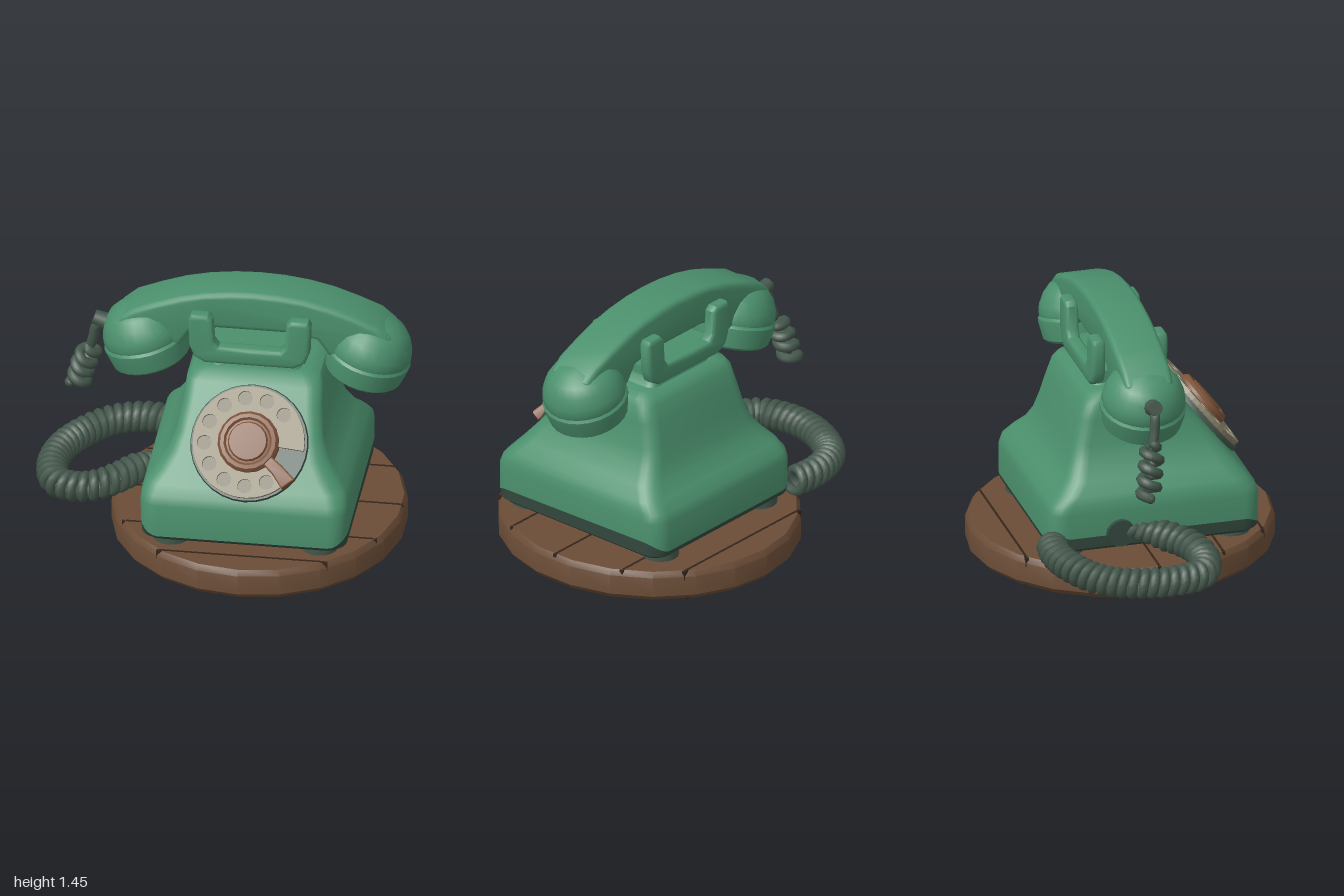
import * as THREE from 'three';
import { toCreasedNormals } from 'three/addons/utils/BufferGeometryUtils.js';

const mat = (name, color, side = THREE.FrontSide) => {
  const m = new THREE.MeshStandardMaterial({ color, side });
  m.name = name;
  return m;
};
const CX = 0.2; // middle of the phone; the cord hangs off to -x

export function createModel() {
  const green = mat('green enamel', 0x4b906d);
  const shade = mat('dark green trim', 0x34493f);
  const cordMat = mat('cord rubber', 0x44574c);
  const wood = mat('wood', 0x6b4d37);
  const gap = mat('plank gap', 0x35261b);
  const copper = mat('dial brown', 0x80553a);
  const ivory = mat('dial ivory', 0x898269);
  const well = mat('finger well', 0x77715c);

  const model = new THREE.Group();
  model.name = 'rotaryTelephone';
  const add = (name, geo, material, parent = model) => {
    const m = new THREE.Mesh(geo, material);
    m.name = name;
    parent.add(m);
    return m;
  };
  const lathe = (pts, seg) => toCreasedNormals(
    new THREE.LatheGeometry(pts.map(p => new THREE.Vector2(...p)), seg), 0.6);

  // Rounded-rectangle cross-sections [y or rule, half width, back z, front z, corner radius]
  function loft(levels, capBottom, capTop) {
    const pos = [], idx = [], perCorner = 7, n = perCorner * 4;
    for (const [y, hw, zb, zf, r] of levels) {
      for (let c = 0; c < 4; c++) for (let k = 0; k < perCorner; k++) {
        const a = (c + k / (perCorner - 1)) * Math.PI / 2;
        const sx = c === 0 || c === 3 ? 1 : -1;
        const nx = Math.cos(a), nz = Math.sin(a);
        pos.push(CX + sx * (hw - r) + r * nx, typeof y === 'function' ? y(nx, nz) : y,
          (c < 2 ? zf - r : zb + r) + r * nz);
      }
    }
    for (let l = 0; l < levels.length - 1; l++) for (let i = 0; i < n; i++) {
      const j = (i + 1) % n, a = l * n + i, b = l * n + j;
      idx.push(a, a + n, b, b, a + n, b + n);
    }
    const cap = (l, up) => {
      const c = pos.length / 3, [y, , zb, zf] = levels[l];
      pos.push(CX, y, (zb + zf) / 2);
      for (let i = 0; i < n; i++) {
        const a = l * n + i, b = l * n + (i + 1) % n;
        up ? idx.push(c, b, a) : idx.push(c, a, b);
      }
    };
    if (capBottom) cap(0, false);
    if (capTop) cap(levels.length - 1, true);
    const g = new THREE.BufferGeometry();
    g.setAttribute('position', new THREE.Float32BufferAttribute(pos, 3));
    g.setIndex(idx);
    return toCreasedNormals(g, 0.7);
  }

  // Bevelled plate cut from an outline, centred on z
  function plate(points, depth, bevel, z) {
    const shape = new THREE.Shape(points.map(p => new THREE.Vector2(...p)));
    const g = new THREE.ExtrudeGeometry(shape, {
      depth: depth - 2 * bevel, bevelEnabled: true, bevelSize: bevel,
      bevelThickness: bevel, bevelOffset: -bevel, bevelSegments: 3,
    });
    g.translate(0, 0, z - depth / 2 + bevel);
    return toCreasedNormals(g, 0.7);
  }

  // Wooden stand with plank seams above and below
  const stand = add('stand', lathe([[0, 0], [0.765, 0], [0.79, 0.03], [0.79, 0.14], [0.77, 0.17], [0, 0.17]], 22), wood);
  stand.position.x = 0.205;
  stand.scale.z = 1.05;
  for (const z of [-0.65, -0.39, 0, 0.38, 0.66]) {
    const half = 0.77 * Math.sqrt(1 - (z / 0.82) ** 2) - 0.015;
    for (const y of [0.0035, 0.169]) {
      add('plankSeam', new THREE.BoxGeometry(half * 2, 0.007, 0.012), gap).position.set(0.205, y, z);
    }
    for (const s of [-1, 1]) {
      add('seamNotch', new THREE.BoxGeometry(0.03, 0.05, 0.018), gap).position.set(0.205 + s * (half + 0.004), 0.145, z);
    }
  }

  // Feet
  for (const x of [-0.2, 0.6]) for (const z of [-0.42, 0.5]) {
    add('foot', new THREE.CylinderGeometry(0.1, 0.1, 0.06, 16), cordMat).position.set(x, 0.195, z);
  }

  // Body with a darker skirt that rises on the sides
  const skirtTop = [(nx, nz) => 0.235 + 0.055 * nx * nx + (nz < 0 ? 0.015 : 0), 0.558, -0.54, 0.63, 0.1];
  add('skirt', loft([[0.205, 0.53, -0.51, 0.6, 0.09], [0.225, 0.552, -0.535, 0.625, 0.1], skirtTop], true, false), shade);
  add('body', loft([
    skirtTop, [0.42, 0.56, -0.54, 0.63, 0.1], [0.47, 0.555, -0.525, 0.612, 0.1],
    [0.52, 0.535, -0.475, 0.57, 0.1], [0.58, 0.485, -0.42, 0.522, 0.1],
    [0.66, 0.43, -0.385, 0.46, 0.09], [0.75, 0.395, -0.36, 0.39, 0.08],
    [0.88, 0.375, -0.325, 0.288, 0.08], [0.97, 0.365, -0.295, 0.217, 0.08],
    [1.005, 0.345, -0.27, 0.185, 0.08], [1.025, 0.29, -0.22, 0.13, 0.06],
  ], false, true), green);
  add('neck', loft([
    [1.0, 0.28, -0.23, 0.14, 0.05], [1.03, 0.235, -0.22, 0.13, 0.05], [1.09, 0.215, -0.21, 0.12, 0.05],
  ], false, true), green);

  // Cradle: a deck and two U-shaped rests
  const cradleHalf = [[0, 1.05], [0.24, 1.05], [0.3, 1.085], [0.325, 1.15], [0.33, 1.31], [0.315, 1.335],
    [0.225, 1.335], [0.2, 1.31], [0.19, 1.18], [0.165, 1.148], [0, 1.148]];
  const mirrored = (half, cx) => [
    ...half.map(([x, y]) => [cx + x, y]),
    ...half.slice(1, -1).reverse().map(([x, y]) => [cx - x, y])];
  const rest = mirrored(cradleHalf, 0.17);
  add('frontCradle', plate(rest, 0.085, 0.022, 0.122), green);
  add('backCradle', plate(rest, 0.075, 0.022, -0.217), green);
  add('cradleDeck', new THREE.BoxGeometry(0.5, 0.07, 0.32), green).position.set(0.17, 1.09, -0.05);

  // Handset: arched grip and two tilted cups
  const handset = new THREE.Group();
  handset.name = 'handset';
  handset.position.set(0.185, 0, -0.05);
  model.add(handset);
  const gripHalf = [[0, 1.22], [0.2, 1.22], [0.34, 1.19], [0.4, 1.1], [0.66, 1.06], [0.73, 1.14],
    [0.735, 1.23], [0.66, 1.295], [0.53, 1.348], [0.4, 1.393], [0.27, 1.423], [0.13, 1.441], [0, 1.446]];
  add('grip', plate(mirrored(gripHalf, 0), 0.27, 0.03, 0), green, handset);
  const cupGeo = lathe([[0, 0.025], [0.15, 0.025], [0.165, 0], [0.195, 0], [0.212, 0.015], [0.23, 0.1],
    [0.232, 0.125], [0.222, 0.14], [0.226, 0.155], [0.22, 0.2], [0.195, 0.26], [0.16, 0.305], [0.1, 0.34], [0, 0.352]], 24);
  for (const s of [-1, 1]) {
    const cup = add(s < 0 ? 'rightCup' : 'leftCup', cupGeo, green, handset);
    cup.position.set(s * 0.568, 0.942, 0);
    cup.rotation.z = -s * 0.265;
  }

  // Dial, tilted to lie on the sloping front
  const dial = new THREE.Group();
  dial.name = 'dial';
  dial.position.set(0.21, 0.712, 0.4);
  dial.rotation.x = -0.668;
  model.add(dial);
  const turned = (name, pts, material, seg) => {
    add(name, lathe(pts, seg), material, dial).rotation.x = Math.PI / 2;
  };
  turned('dialPlate', [[0, -0.03], [0.31, -0.03], [0.318, 0.02], [0.312, 0.04], [0, 0.04]], cordMat, 32);
  const deg = Math.PI / 180;
  const sector = () => {
    const s = new THREE.Shape();
    s.absarc(0, 0, 0.3, -5 * deg, 312 * deg, false);
    s.absarc(0, 0, 0.14, 312 * deg, -5 * deg, true);
    return s;
  };
  const ringShape = sector();
  for (let i = 0; i < 10; i++) {
    const a = (42 + i * 28.5) * deg;
    ringShape.holes.push(new THREE.Path().absarc(0.238 * Math.cos(a), 0.238 * Math.sin(a), 0.039, 0, Math.PI * 2, true));
  }
  const extrude = (shape, depth) => new THREE.ExtrudeGeometry(shape, { depth, bevelEnabled: false, curveSegments: 20 });
  add('fingerWells', extrude(sector(), 0.008), well, dial).position.z = 0.038;
  add('fingerRing', extrude(ringShape, 0.022), ivory, dial).position.z = 0.046;
  turned('hub', [[0.165, 0.04], [0.165, 0.085], [0.15, 0.105], [0.13, 0.108], [0.118, 0.096], [0.108, 0.098], [0.1, 0.112], [0, 0.116]], copper, 18);
  const stop = add('fingerStop', plate([[0.13, -0.03], [0.22, -0.035], [0.31, -0.055], [0.325, 0.03], [0.22, 0.035], [0.13, 0.03]], 0.06, 0.01, 0.07), copper, dial);
  stop.rotation.z = -40 * deg;

  // Coiled cord: a helix wound round a guide curve
  class Coil extends THREE.Curve {
    constructor(points, turns, radius, ref, start) {
      super();
      this.guide = new THREE.CatmullRomCurve3(points.map(p => new THREE.Vector3(...p)));
      Object.assign(this, { turns, radius, ref, start });
    }
    getPoint(t, target = new THREE.Vector3()) {
      const tan = this.guide.getTangentAt(t);
      const u = new THREE.Vector3().crossVectors(tan, this.ref).normalize();
      const v = new THREE.Vector3().crossVectors(u, tan);
      const w = Math.max(0, (t - this.start) / (1 - this.start));
      const a = w * this.turns * Math.PI * 2;
      const r = this.radius * Math.min(1, w * 8);
      return target.copy(this.guide.getPointAt(t)).addScaledVector(u, r * Math.cos(a)).addScaledVector(v, r * Math.sin(a));
    }
  }
  const coil = (name, curve, segments, r) => {
    add(name, new THREE.TubeGeometry(curve, segments, r, 7), cordMat);
    for (const t of [0, 1]) {
      add(name + 'End', new THREE.SphereGeometry(r, 8, 6), cordMat).position.copy(curve.getPoint(t));
    }
  };
  coil('baseCord', new Coil([[-0.34, 0.3, -0.14], [-0.46, 0.3, 0.05], [-0.59, 0.28, 0.17], [-0.72, 0.255, 0.205],
    [-0.86, 0.24, 0.15], [-0.915, 0.24, 0.0], [-0.9, 0.24, -0.2], [-0.81, 0.24, -0.38], [-0.67, 0.26, -0.5],
    [-0.5, 0.27, -0.55], [-0.34, 0.27, -0.535]], 35, 0.06, new THREE.Vector3(0, 1, 0), 0), 560, 0.027);
  coil('handsetCord', new Coil([[-0.62, 1.13, -0.06], [-0.68, 1.11, -0.06], [-0.705, 1.02, -0.07], [-0.73, 0.92, -0.09],
    [-0.765, 0.82, -0.11], [-0.795, 0.69, -0.13]], 4, 0.045, new THREE.Vector3(0, 0, 1), 0.42), 110, 0.028);

  // Cord fittings
  const plug = add('cordPlug', new THREE.CylinderGeometry(0.04, 0.05, 0.11, 10), cordMat);
  plug.position.set(-0.645, 1.14, -0.06);
  plug.rotation.z = 1.25;
  const socket = add('cordSocket', new THREE.CylinderGeometry(0.075, 0.08, 0.04, 16), shade);
  socket.position.set(-0.36, 0.3, -0.16);
  socket.rotation.z = Math.PI / 2;

  return model;
}
